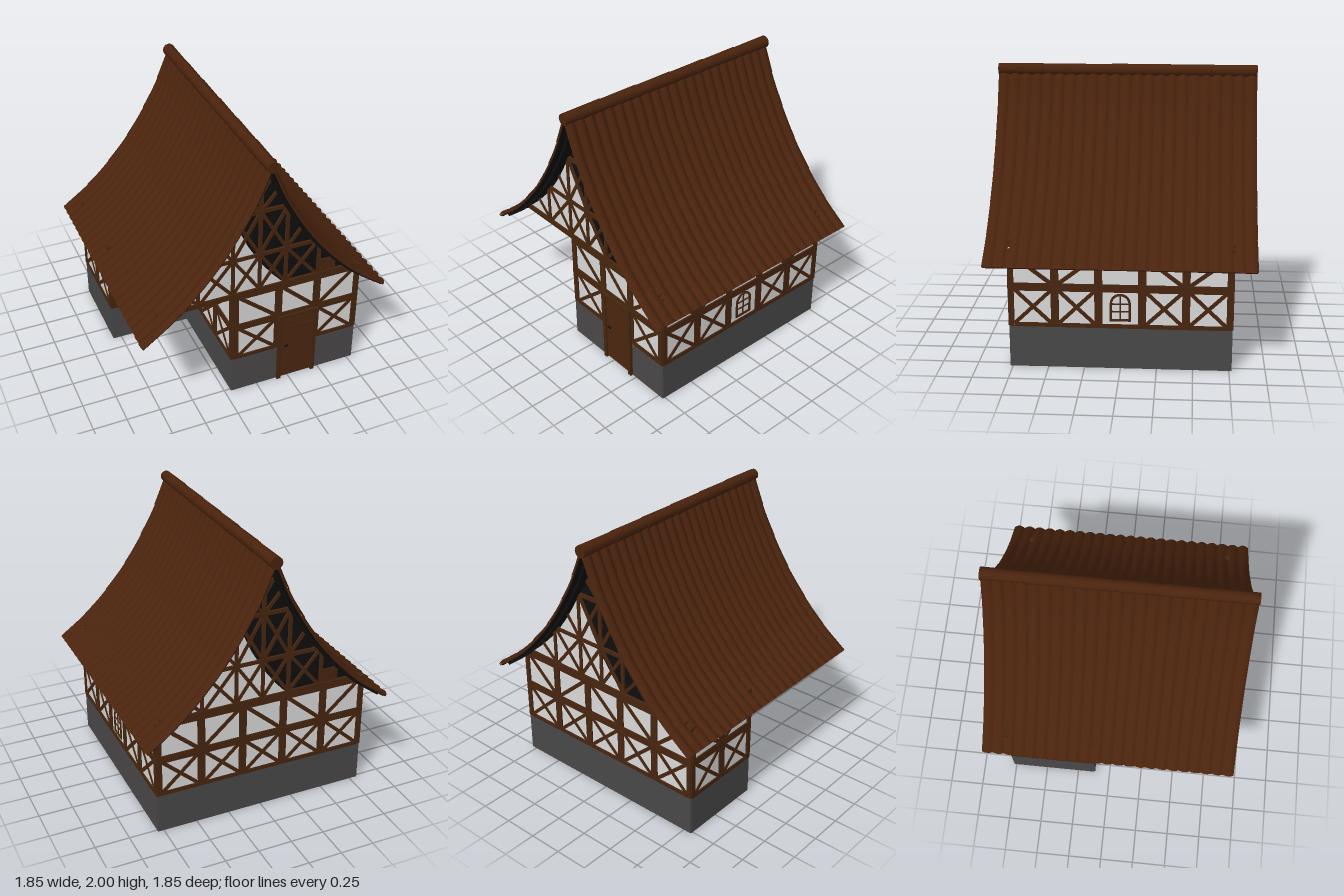
import * as THREE from 'three';

const mat = (name, color, side = THREE.FrontSide) => {
  const m = new THREE.MeshStandardMaterial({ color, side });
  m.name = name;
  return m;
};

export function createModel() {
  const model = new THREE.Group();
  model.name = 'timberFramedHouse';
  const timber = mat('timber brown', 0x47260f);
  const plaster = mat('plaster white', 0xdadada);
  const stone = mat('plinth grey', 0x4a4848);
  const tile = mat('roof tile brown', 0x4a230d, THREE.DoubleSide);
  const dark = mat('shadow black', 0x0e0e0e);
  const doorWood = mat('door brown', 0x4c2610);

  const add = (parent, name, geo, m, x = 0, y = 0, z = 0) => {
    const mesh = new THREE.Mesh(geo, m);
    mesh.name = name;
    mesh.position.set(x, y, z);
    parent.add(mesh);
    return mesh;
  };
  const box = (p, name, m, x0, x1, y0, y1, z0, z1) =>
    add(p, name, new THREE.BoxGeometry(x1 - x0, y1 - y0, z1 - z0), m, (x0 + x1) / 2, (y0 + y1) / 2, (z0 + z1) / 2);
  // Straight timber between two points of a wall plane
  const strut = (p, name, x0, y0, x1, y1, w, d = 0.044, z = -0.015) => {
    const geo = new THREE.BoxGeometry(Math.hypot(x1 - x0, y1 - y0), w, d);
    add(p, name, geo, timber, (x0 + x1) / 2, (y0 + y1) / 2, z).rotation.z = Math.atan2(y1 - y0, x1 - x0);
  };

  // Arched window with frame and glazing bars
  const archShape = (w, h) => {
    const s = new THREE.Shape();
    s.moveTo(-w, 0);
    s.lineTo(w, 0);
    s.lineTo(w, h - w);
    s.absarc(0, h - w, w, 0, Math.PI);
    return s;
  };
  const addWindow = (p, u) => {
    const g = new THREE.Group();
    g.name = 'archedWindow';
    g.position.set(u, 0.35, -0.04);
    const frame = archShape(0.072, 0.2);
    frame.holes.push(new THREE.Path(archShape(0.056, 0.168).getPoints(10).map(v => v.setY(v.y + 0.016))));
    add(g, 'windowFrame', new THREE.ExtrudeGeometry(frame, { depth: 0.048, bevelEnabled: false, curveSegments: 10 }), timber);
    box(g, 'windowMullion', timber, -0.005, 0.005, 0.01, 0.19, 0.003, 0.045);
    for (const y of [0.07, 0.125]) box(g, 'windowBar', timber, -0.06, 0.06, y - 0.005, y + 0.005, 0.003, 0.045);
    p.add(g);
  };

  // Door with frame, lintel and battens
  const addDoor = (p, u0, u1) => {
    const g = new THREE.Group();
    g.name = 'door';
    box(g, 'doorLeaf', doorWood, u0, u1, 0.012, 0.57, -0.045, 0.012);
    for (const u of [u0 - 0.008, u1 + 0.008]) box(g, 'doorPost', timber, u - 0.015, u + 0.015, 0, 0.585, -0.05, 0.024);
    box(g, 'doorLintel', timber, u0 - 0.015, u1 + 0.015, 0.565, 0.59, -0.05, 0.026);
    box(g, 'doorTransom', timber, u0, u1, 0.45, 0.47, 0, 0.018);
    box(g, 'doorHandle', dark, u0 + 0.03, u0 + 0.06, 0.295, 0.305, 0.01, 0.024);
    p.add(g);
  };

  // Framed wall from (x0,z0) to (x1,z1), left to right as seen from outside.
  // Each bay: upper brace then lower filling (X cross, W window, D door)
  const wall = (name, x0, z0, x1, z1, posts, bays, top) => {
    const g = new THREE.Group();
    const len = Math.hypot(x1 - x0, z1 - z0);
    g.name = name;
    g.position.set(x0, 0, z0);
    g.rotation.y = Math.atan2(z0 - z1, x1 - x0);
    box(g, 'plinth', stone, 0, len, 0, 0.3, -0.034, 0.004);
    box(g, 'plasterWall', plaster, 0, len, 0.3, top, -0.03, 0);
    strut(g, 'midRail', 0, 0.588, len, 0.588, 0.055, 0.05);
    strut(g, 'topRail', 0, top - 0.015, len, top - 0.015, 0.04, 0.05);
    posts.forEach((u, i) => {
      const w = i === 0 || i === posts.length - 1 ? 0.036 : 0.055;
      strut(g, 'post', u, 0.3, u, top, w, 0.048);
    });
    bays.forEach(([upper, lower], i) => {
      const a = posts[i] + 0.02, b = posts[i + 1] - 0.02;
      if (upper === '\\') strut(g, 'upperBrace', a, top - 0.02, b, 0.61, 0.028);
      if (upper === '/') strut(g, 'upperBrace', a, 0.61, b, top - 0.02, 0.028);
      if (lower !== 'D') strut(g, 'sillBeam', a, 0.313, b, 0.313, 0.028, 0.05);
      if (lower === 'X') {
        strut(g, 'crossBrace', a, 0.32, b, 0.57, 0.026);
        strut(g, 'crossBrace', a, 0.57, b, 0.32, 0.026, 0.042);
      }
      if (lower === 'W') addWindow(g, (a + b) / 2);
      if (lower === 'D') addDoor(g, a + 0.005, b + 0.005);
    });
    model.add(g);
  };
  const even = (len, n) => Array.from({ length: n + 1 }, (_, i) => 0.016 + (len - 0.032) * i / n);
  const L = -0.81, R = 0.79, F = 0.765, NX = -0.2, NZ = -0.12;
  wall('frontWall', NX, F, R, F, [0.03, 0.355, 0.655, 0.97], ['\\X', '\\D', '/X'], 0.87);
  wall('recessedFrontWall', L, NZ, NX, NZ, [0.016, 0.305, 0.594], ['\\X', '/X'], 0.87);
  wall('rightWall', R, F, R, -F, even(1.53, 5), ['\\X', '/X', '.W', '\\X', '/X'], 0.83);
  wall('backWall', R, -F, L, -F, even(1.6, 5), ['\\X', '/X', '\\X', '\\X', '/X'], 0.87);
  wall('leftWall', L, -F, L, NZ, even(0.645, 2), ['\\X', '/X'], 0.83);
  wall('porchSideWall', NX, NZ, NX, F, even(0.885, 3), ['.W', '\\X', '/X'], 0.87);
  box(model, 'porchCeiling', timber, -0.76, NX, 0.86, 0.875, NZ, F - 0.03);

  // Concave roof slope
  const slope = new THREE.CatmullRomCurve3([[0.015, 1.985], [0.125, 1.72], [0.2, 1.58], [0.33, 1.37], [0.465, 1.195], [0.68, 0.97], [0.925, 0.78]]
    .map(([x, y]) => new THREE.Vector3(x, y, 0)));
  const onSlope = (t, off) => {
    const p = slope.getPointAt(t), d = slope.getTangentAt(t);
    return new THREE.Vector2(p.x - d.y * off, p.y + d.x * off);
  };
  const band = (o1, o2, width, t0 = 0, t1 = 1) => {
    const pts = [];
    for (let i = 0; i <= 20; i++) pts.push(onSlope(t0 + (t1 - t0) * i / 20, o1));
    for (let i = 20; i >= 0; i--) pts.push(onSlope(t0 + (t1 - t0) * i / 20, o2));
    const geo = new THREE.ExtrudeGeometry(new THREE.Shape(pts), { depth: width, bevelEnabled: false });
    return geo.translate(0, 0, -width / 2);
  };
  // One course of ribbed tiles
  const tileRow = (t0, t1) => {
    const nu = 5, nv = 23 * 8, pos = [], idx = [];
    for (let i = 0; i <= nu; i++) for (let j = 0; j <= nv; j++) {
      const rib = Math.abs(Math.sin(Math.PI * j / 8));
      const p = onSlope(t0 + (t1 - t0) * i / nu, -0.022 + 0.018 * rib + 0.005 * i / nu);
      pos.push(p.x, p.y, -0.925 + 1.85 * j / nv);
      if (i < nu && j < nv) {
        const a = i * (nv + 1) + j, b = a + nv + 1;
        idx.push(a, a + 1, b, b, a + 1, b + 1);
      }
    }
    const geo = new THREE.BufferGeometry();
    geo.setAttribute('position', new THREE.Float32BufferAttribute(pos, 3));
    geo.setIndex(idx);
    geo.computeVertexNormals();
    return geo;
  };
  const rows = 6;
  for (const turn of [0, Math.PI]) {
    const half = new THREE.Group();
    half.name = turn ? 'leftRoofSlope' : 'rightRoofSlope';
    half.rotation.y = turn;
    for (let r = 0; r < rows; r++) add(half, 'tileCourse', tileRow(r / rows, (r + 1) / rows), tile);
    add(half, 'roofDeck', band(-0.019, -0.03, 1.84), tile);
    add(half, 'roofLining', band(-0.03, -0.036, 1.83, 0.02, 0.99), dark);
    const rafter = band(-0.034, -0.055, 0.022, 0.05, 0.985);
    for (let i = 0; i < 11; i++) add(half, 'rafter', rafter, dark, 0, 0, -0.855 + i * 0.171);
    model.add(half);
  }

  // Overlapping ridge caps
  for (let i = 0; i < 6; i++) {
    const cap = new THREE.CylinderGeometry(0.041, 0.045, 0.318, 12, 1, false).rotateX(Math.PI / 2);
    add(model, 'ridgeCap', cap, tile, 0, 1.955, -0.766 + i * 0.3065);
  }

  // Gables: dark backing, plaster field and timber lattice
  const under = [];
  for (let i = 0; i <= 16; i++) under.push(onSlope(0.06 + 0.8 * i / 16, -0.034));
  const outline = under.filter(p => p.y > 0.88);
  const gableShape = new THREE.Shape([...outline, new THREE.Vector2(0.76, 0.87), new THREE.Vector2(-0.76, 0.87),
    ...outline.slice().reverse().map(p => new THREE.Vector2(-p.x, p.y))]);
  const field = new THREE.Shape([[-0.73, 0.87], [0.2, 0.87], [0.1, 0.98], [0.01, 1.1], [-0.09, 1.27], [-0.2, 1.51], [-0.31, 1.32], [-0.44, 1.14], [-0.6, 0.98]]
    .map(p => new THREE.Vector2(...p)));
  const flat = (s, d) => new THREE.ExtrudeGeometry(s, { depth: d, bevelEnabled: false });
  for (const turn of [0, Math.PI]) {
    const g = new THREE.Group();
    g.name = turn ? 'backGable' : 'frontGable';
    g.rotation.y = turn;
    const face = new THREE.Group();
    face.position.z = F;
    g.add(face);
    add(face, 'gableBacking', flat(gableShape, 0.02), dark, 0, 0, -0.026);
    add(face, 'gablePlaster', flat(field, 0.006), plaster, 0, 0, -0.006);
    box(face, 'gablePlank', timber, 0.465, 0.59, 0.88, 1.0, -0.02, 0.004);
    strut(face, 'gableBeam', -0.76, 0.88, 0.76, 0.88, 0.04, 0.056);
    strut(face, 'gableRail', -0.43, 1.18, 0.43, 1.18, 0.028, 0.05);
    strut(face, 'gableRail', -0.2, 1.53, 0.2, 1.53, 0.028, 0.05);
    strut(face, 'gablePost', 0, 0.88, 0, 1.9, 0.026, 0.048);
    for (const s of [1, -1]) {
      strut(face, 'gablePost', s * 0.2, 0.88, s * 0.2, 1.53, 0.026, 0.048);
      strut(face, 'gablePost', s * 0.455, 0.88, s * 0.455, 1.15, 0.026, 0.048);
      const braces = [[0, 1.53, 0.2, 1.18], [0, 1.18, 0.2, 1.53], [0, 1.53, 0.12, 1.67], [0, 1.67, 0.07, 1.78],
        [0.2, 1.18, 0.32, 1.34], [0.2, 1.18, 0.44, 0.89], [0.2, 0.89, 0.43, 1.16],
        [0, 0.89, 0.2, 1.18], [0.2, 0.89, 0, 1.18], [0.455, 0.89, 0.6, 1.02]];
      for (const [a, b, c, d] of braces) strut(face, 'gableBrace', s * a, b, s * c, d, 0.024);
    }
    model.add(g);
  }
  return model;
}
